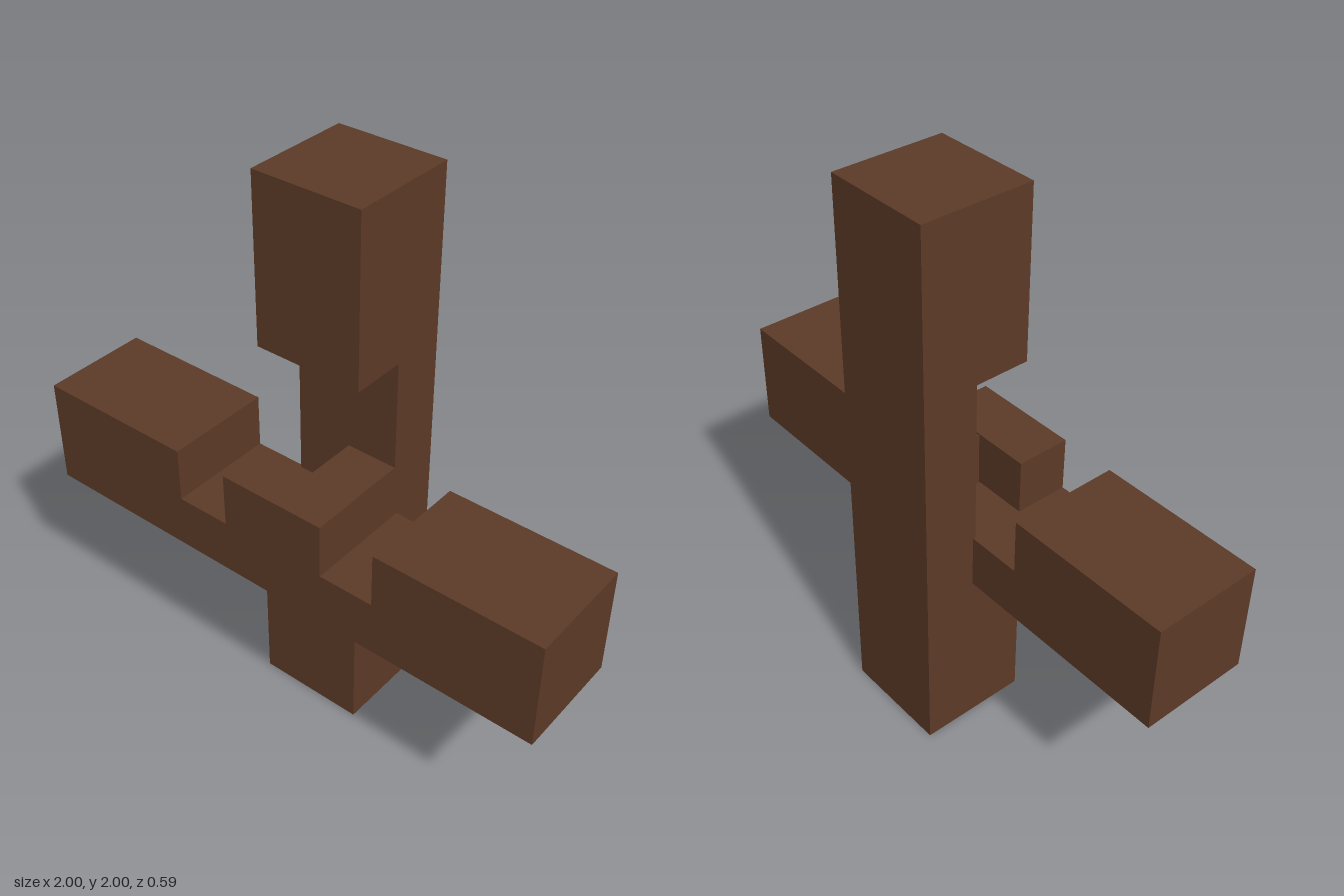
import * as THREE from 'three';

// Closed solid from a grid of boxes: only faces between filled and empty cells are made.
function notchedBar(lines, isFilled) {
  const counts = lines.map((l) => l.length - 1);
  const filled = (c) => c.every((v, a) => v >= 0 && v < counts[a]) && isFilled(...c);
  const positions = [];
  for (let i = 0; i < counts[0]; i++)
    for (let j = 0; j < counts[1]; j++)
      for (let k = 0; k < counts[2]; k++) {
        const cell = [i, j, k];
        if (!filled(cell)) continue;
        for (let axis = 0; axis < 3; axis++)
          for (const side of [0, 1]) {
            const next = [...cell];
            next[axis] += side ? 1 : -1;
            if (filled(next)) continue;
            const u = (axis + 1) % 3, v = (axis + 2) % 3;
            const corner = (du, dv) => {
              const p = [];
              p[axis] = lines[axis][cell[axis] + side];
              p[u] = lines[u][cell[u] + du];
              p[v] = lines[v][cell[v] + dv];
              return p;
            };
            const quad = [corner(0, 0), corner(1, 0), corner(1, 1), corner(0, 1)];
            if (!side) quad.reverse();
            for (const n of [0, 1, 2, 0, 2, 3]) positions.push(...quad[n]);
          }
      }
  const geometry = new THREE.BufferGeometry();
  geometry.setAttribute('position', new THREE.Float32BufferAttribute(positions, 3));
  geometry.computeVertexNormals();
  return geometry;
}

export function createModel() {
  const group = new THREE.Group();
  group.name = 'interlockingBars';
  const wood = new THREE.MeshStandardMaterial({ color: 0x5c3a26 });
  wood.name = 'dark brown wood';

  const add = (name, geometry) => {
    const mesh = new THREE.Mesh(geometry, wood);
    mesh.name = name;
    group.add(mesh);
  };

  // Upright: front notch, with a peg left standing in its lower +x half
  add('uprightBar', notchedBar(
    [[-0.204, 0.004, 0.193], [0, 0.605, 1.005, 1.405, 2], [-0.293, -0.094, 0.103]],
    (x, y, z) => z === 0 || y === 0 || y === 3 || (y === 1 && x === 1),
  ));

  // Crossbar: two top notches, a half-height recess and a through slot for the peg
  add('crossBar', notchedBar(
    [[-1, -0.402, -0.2, 0, 0.199, 0.402, 1], [0.615, 0.812, 1.011], [-0.104, 0.098, 0.293]],
    (x, y, z) => {
      if (x === 1 || x === 4) return y === 0;
      if (x === 2) return z === 1 || y === 0;
      if (x === 3) return z === 1;
      return true;
    },
  ));

  return group;
}
